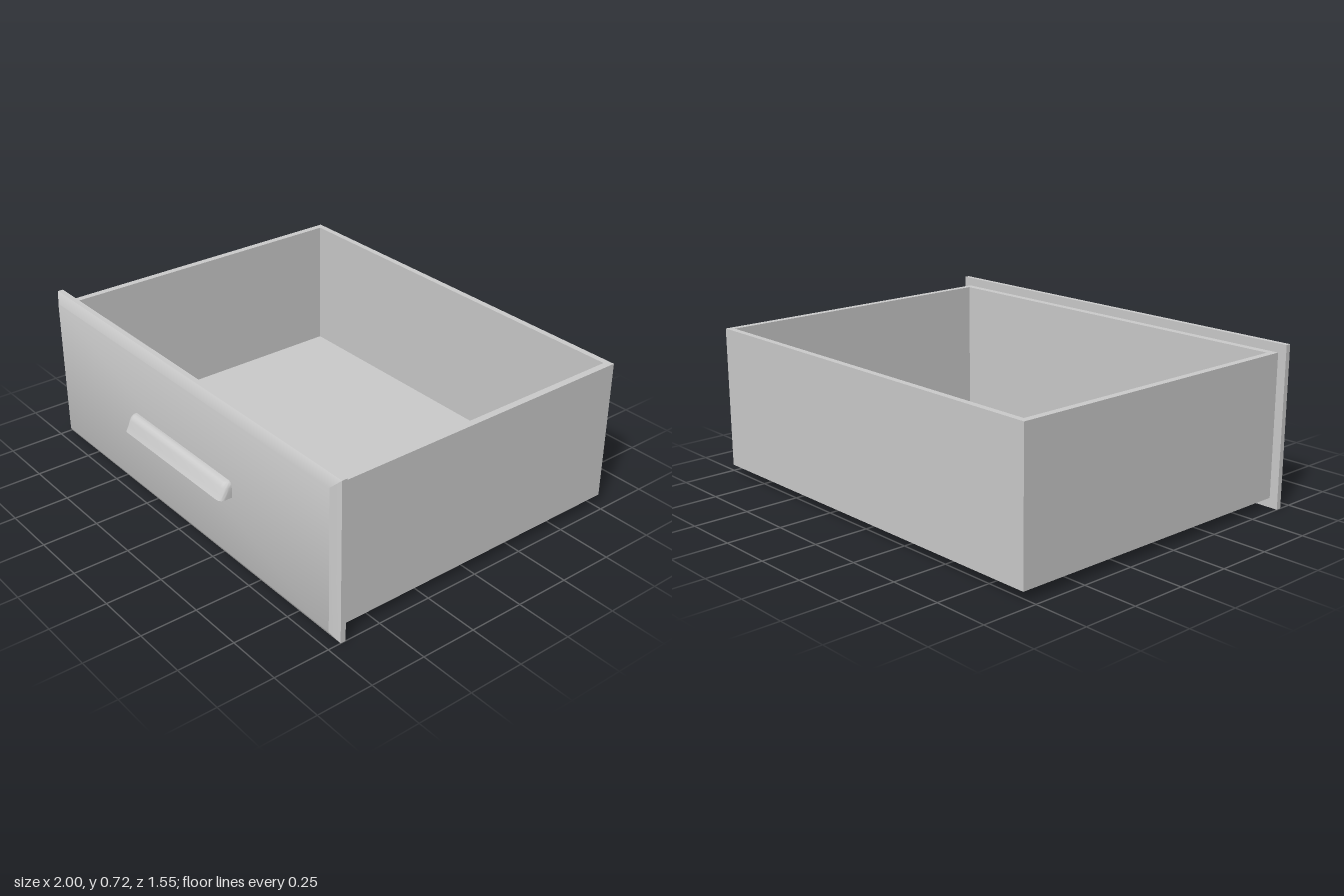
import * as THREE from 'three';
import { toCreasedNormals } from 'three/addons/utils/BufferGeometryUtils.js';

// Skin a stack of closed rings (counter-clockwise about the direction of travel), capped at both ends.
function loft(rings) {
  const n = rings[0].length;
  const pos = [];
  const tri = (...pts) => pts.forEach((p) => pos.push(...p));
  const centre = (ring) => [0, 1, 2].map((k) => ring.reduce((s, p) => s + p[k], 0) / n);
  const first = rings[0], last = rings[rings.length - 1];
  const c0 = centre(first), c1 = centre(last);
  for (let i = 0; i < n; i++) {
    const j = (i + 1) % n;
    for (let r = 0; r + 1 < rings.length; r++) {
      const a = rings[r], b = rings[r + 1];
      tri(a[i], a[j], b[j]);
      tri(a[i], b[j], b[i]);
    }
    tri(c0, first[j], first[i]);
    tri(c1, last[i], last[j]);
  }
  const g = new THREE.BufferGeometry();
  g.setAttribute('position', new THREE.Float32BufferAttribute(pos, 3));
  return toCreasedNormals(g, 0.6);
}

// Horizontal rectangle at height y
const flatRing = (y, w, zBack, zFront) => [[-w, y, zBack], [-w, y, zFront], [w, y, zFront], [w, y, zBack]];

// Upright rectangle at depth z
const uprightRing = (z, w, y0, y1) => [[-w, y0, z], [w, y0, z], [w, y1, z], [-w, y1, z]];

// Handle outline at height y: flat against the panel, rounded at the two front corners
function handleRing(y, w, zFront, zBack = 0.715) {
  const steps = 6;
  const r = Math.min(0.025, (zFront - zBack) * 0.8);
  const ring = [[-w, y, zBack]];
  for (const side of [-1, 1]) {
    for (let i = 0; i <= steps; i++) {
      const t = ((side < 0 ? i : steps - i) / steps) * Math.PI / 2;
      ring.push([side * (w - r + r * Math.cos(t)), y, zFront - r + r * Math.sin(t)]);
    }
  }
  ring.push([w, y, zBack]);
  return ring;
}

export function createModel() {
  const model = new THREE.Group();
  model.name = 'drawer';
  const material = new THREE.MeshStandardMaterial({ color: 0xcccccc });
  const add = (name, rings) => {
    const mesh = new THREE.Mesh(loft(rings), material);
    mesh.name = name;
    model.add(mesh);
  };

  // Open box: up the outside, over the rim, down the inside to the floor
  add('drawerBox', [
    flatRing(0.043, 0.96, -0.775, 0.667),
    flatRing(0.679, 0.96, -0.775, 0.667),
    flatRing(0.679, 0.929, -0.747, 0.632),
    flatRing(0.072, 0.929, -0.747, 0.632),
  ]);

  // Front panel with bevelled edges
  add('frontPanel', [
    uprightRing(0.667, 1, 0, 0.718),
    uprightRing(0.691, 1, 0, 0.718),
    uprightRing(0.716, 0.96, 0.04, 0.678),
  ]);

  // Handle flaring outward towards its lower edge
  add('handle', [
    handleRing(0.326, 0.355, 0.774),
    handleRing(0.350, 0.355, 0.762),
    handleRing(0.374, 0.355, 0.753),
    handleRing(0.386, 0.352, 0.747),
    handleRing(0.394, 0.346, 0.739),
    handleRing(0.398, 0.337, 0.728),
  ]);

  return model;
}
